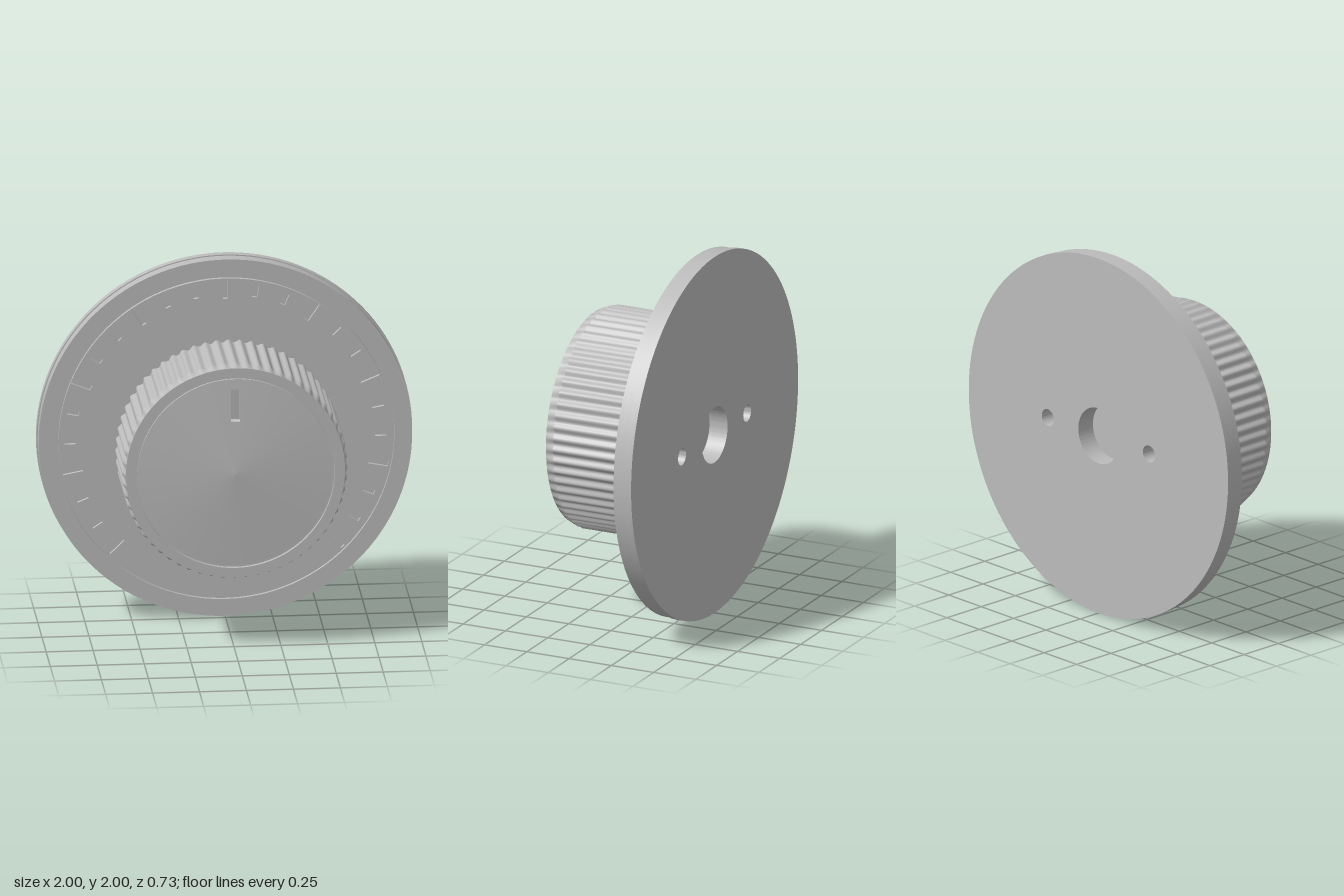
import * as THREE from 'three';
import { mergeGeometries, toCreasedNormals } from 'three/addons/utils/BufferGeometryUtils.js';

const grey = new THREE.MeshStandardMaterial({ color: 0xbbbbbb });
grey.name = 'grey';

const RIBS = 60, SEGS = 480;

function indexed(positions, indices) {
  const g = new THREE.BufferGeometry();
  g.setAttribute('position', new THREE.Float32BufferAttribute(positions, 3));
  g.setIndex(indices);
  g.computeVertexNormals();
  return g;
}

// Band around the z axis between two rings [radius, z, rib depth]
function band(a, b) {
  const pos = [], idx = [];
  for (const [r, z, wave = 0] of [a, b]) {
    for (let i = 0; i < SEGS; i++) {
      const t = (i / SEGS) * Math.PI * 2;
      const rr = r + wave * (Math.cos(RIBS * t) - 1) / 2;
      pos.push(rr * Math.cos(t), rr * Math.sin(t), z);
    }
  }
  for (let i = 0; i < SEGS; i++) {
    const j = (i + 1) % SEGS;
    if (a[0] > 0) idx.push(i, j, SEGS + i);
    if (b[0] > 0) idx.push(j, SEGS + j, SEGS + i);
  }
  return indexed(pos, idx);
}

// Turned body with a sharp edge at each profile point
function turned(profile) {
  return mergeGeometries(profile.slice(1).map((p, i) => band(profile[i], p)));
}

// Shallow cone with a rectangular opening for the pointer
const SLOT = { half: 0.024, r0: 0.29, r1: 0.465 };
const coneZ = (r) => 0.367 - 0.063 * r;
function slottedCone(radius) {
  const cols = 96, radii = [0, SLOT.r0, SLOT.r1, radius], pos = [], idx = [];
  for (const r of radii) {
    const edge = r ? Math.asin(SLOT.half / r) : 0.06;
    for (let i = 0; i <= cols; i++) {
      // the first and last columns run along the two sides of the opening
      const t = Math.PI / 2 + edge + (i / cols) * (Math.PI * 2 - 2 * edge);
      pos.push(r * Math.cos(t), r * Math.sin(t), coneZ(r));
    }
  }
  const n = cols + 1;
  for (let k = 0; k < 3; k++) {
    for (let i = 0; i <= cols; i++) {
      if (i === cols && k === 1) continue; // the opening
      const a = k * n + i, b = k * n + (i + 1) % n;
      if (k > 0) idx.push(a, a + n, b);
      idx.push(b, a + n, b + n);
    }
  }
  return indexed(pos, idx);
}

// Open box seen from the inside
function pocket(w, h, d) {
  const g = new THREE.BoxGeometry(w, h, d);
  const ix = Array.from(g.index.array);
  ix.splice(24, 6); // no lid on +z
  g.setIndex(ix.reverse());
  g.clearGroups();
  const n = g.attributes.normal;
  for (let i = 0; i < n.array.length; i++) n.array[i] *= -1;
  return g;
}

function circle(type, x, r) {
  const c = new type();
  c.absarc(x, 0, r, 0, Math.PI * 2, false);
  return c;
}

function slab(shape, z0, z1) {
  const g = new THREE.ExtrudeGeometry(shape, { depth: z1 - z0, bevelEnabled: false, curveSegments: 64 });
  return toCreasedNormals(g.translate(0, 0, z0), 0.5);
}

// Disc with the shaft hole and two screw holes
function drilledDisc(radius) {
  const s = circle(THREE.Shape, 0, radius);
  s.holes.push(circle(THREE.Path, 0, 0.155));
  for (const side of [-1, 1]) s.holes.push(circle(THREE.Path, side * 0.39, 0.047));
  return s;
}

function tickSlot(angle, r0, r1, half) {
  const c = Math.cos(angle), s = Math.sin(angle);
  const corners = [[-half, r0], [half, r0], [half, r1], [-half, r1]];
  return new THREE.Path(corners.map(([u, v]) => new THREE.Vector2(u * c + v * s, v * c - u * s)));
}

export function createModel() {
  const root = new THREE.Group();
  root.name = 'dial';
  const add = (parent, name, geometry) => {
    const m = new THREE.Mesh(geometry, grey);
    m.name = name;
    parent.add(m);
    return m;
  };

  // Round backing plate with engraved scale
  const plate = new THREE.Group();
  plate.name = 'plate';
  const face = drilledDisc(0.888);
  for (let i = -12; i <= 12; i++) {
    const long = i % 3 === 0;
    face.holes.push(tickSlot(i * Math.PI / 16, long ? 0.775 : 0.795, long ? 0.887 - 0.004 : 0.858, 0.0135));
  }
  const rim = circle(THREE.Shape, 0, 0.994);
  rim.holes.push(circle(THREE.Path, 0, 0.9));
  add(plate, 'scaleFace', slab(face, -0.28, -0.26));
  add(plate, 'frontRim', slab(rim, -0.28, -0.26));
  add(plate, 'plateCore', slab(drilledDisc(0.994), -0.326, -0.28));
  add(plate, 'plateBack', slab(drilledDisc(1), -0.367, -0.326));

  // Ribbed knob with boss behind and a groove around the pointer cap
  const knob = new THREE.Group();
  knob.name = 'knob';
  add(knob, 'boss', turned([[0, -0.21], [0.446, -0.21], [0.446, -0.13]]));
  add(knob, 'ribbedGrip', turned([
    [0.446, -0.13], [0.572, -0.13], [0.602, -0.095, 0.016], [0.602, 0.295, 0.016],
    [0.583, 0.343], [0.53, 0.343], [0.53, 0.322], [0.52, 0.322], [0.52, coneZ(0.52)],
  ]));
  add(knob, 'cap', slottedCone(0.52));
  const slot = add(knob, 'pointerSlot', pocket(SLOT.half * 2, SLOT.r1 - SLOT.r0, 0.025));
  slot.position.set(0, (SLOT.r0 + SLOT.r1) / 2, coneZ(0.3775) - 0.0125);
  slot.rotation.x = Math.atan(0.063);

  root.add(plate, knob);
  plate.position.y = knob.position.y = 1;
  return root;
}
